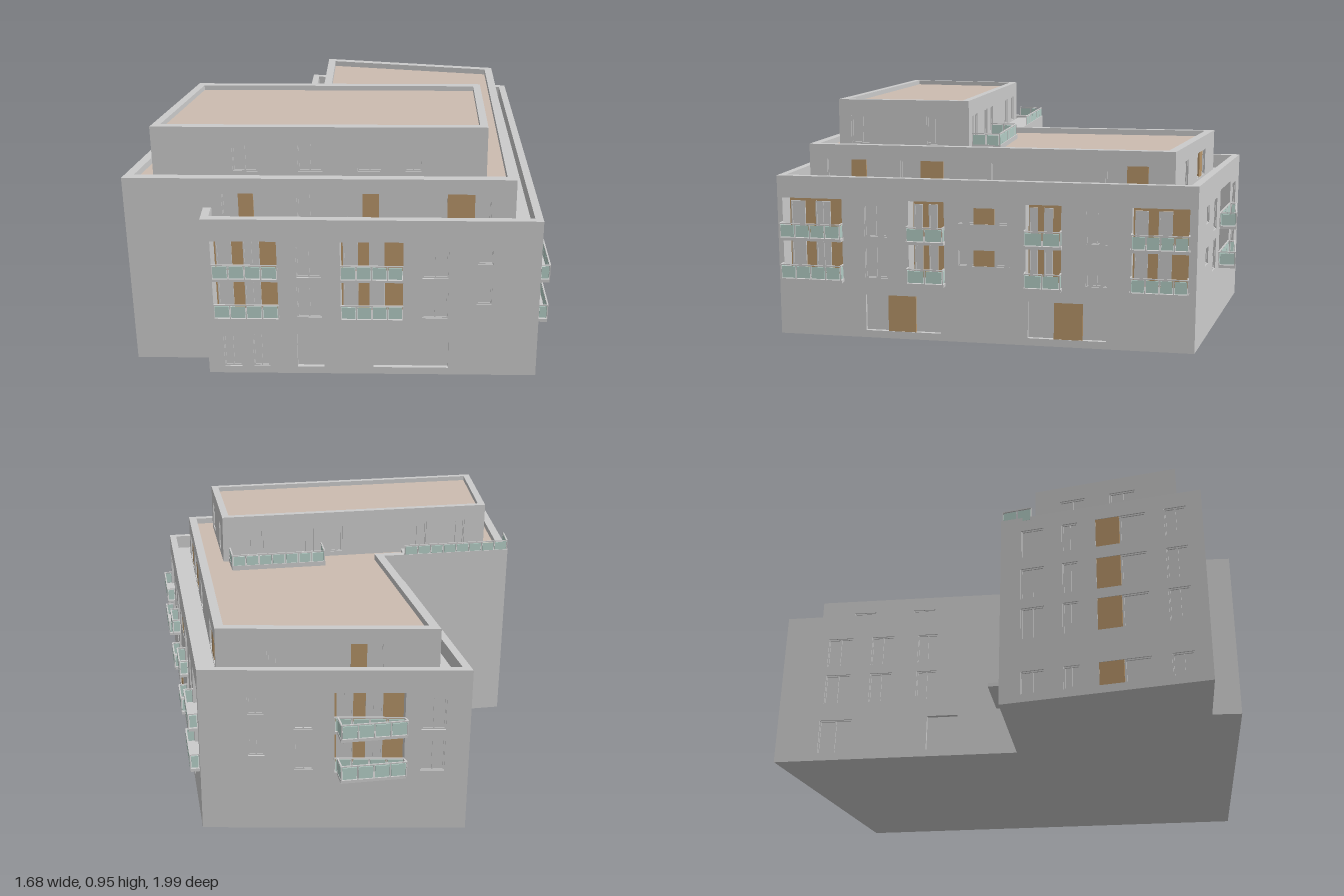
import * as THREE from 'three';

const mat = (color, side = THREE.FrontSide) => new THREE.MeshStandardMaterial({ color, side, flatShading: true });
const GREY = mat(0xcccccc), TAN = mat(0xb8966a), ROOF = mat(0xccbcb0), GLASS = mat(0xb4cec6);

function add(parent, name, geo, material = GREY, x = 0, y = 0, z = 0) {
  const m = new THREE.Mesh(geo, material);
  m.name = name;
  m.position.set(x, y, z);
  parent.add(m);
  return m;
}
const box = (w, h, d) => new THREE.BoxGeometry(w, h, d);

// Plan outlines are [x, z] corners, anticlockwise seen from above
const planShape = pts => new THREE.Shape(pts.map(([x, z]) => new THREE.Vector2(x, -z)));
const flat = pts => new THREE.ShapeGeometry(planShape(pts)).rotateX(-Math.PI / 2);

function inset(pts, d) {
  const n = pts.length;
  return pts.map((p, i) => {
    const a = pts[(i + n - 1) % n], b = pts[(i + 1) % n];
    const u = new THREE.Vector2(p[0] - a[0], p[1] - a[1]).normalize();
    const v = new THREE.Vector2(b[0] - p[0], b[1] - p[1]).normalize();
    const k = d / (1 + u.dot(v));
    return [p[0] + k * (u.y + v.y), p[1] - k * (u.x + v.x)];
  });
}

function slab(parent, name, pts, y0, y1, rim = 0) {
  const s = planShape(pts);
  if (rim) s.holes.push(planShape(inset(pts, rim)));
  const g = new THREE.ExtrudeGeometry(s, { depth: y1 - y0, bevelEnabled: false }).rotateX(-Math.PI / 2);
  return add(parent, name, g, GREY, 0, y0, 0);
}

// Inside-out box without its front face: lining of a recess
function recess(w, h, d) {
  const g = box(w, h, d);
  const idx = Array.from(g.index.array);
  idx.splice(24, 6);
  g.setIndex(idx.reverse());
  g.computeVertexNormals();
  return g;
}

// Glass railing along a path of [x, z] points
function railing(parent, pts, y, h = 0.06) {
  const g = new THREE.Group();
  g.name = 'railing';
  parent.add(g);
  for (let i = 0; i + 1 < pts.length; i++) {
    const [a, b] = [pts[i], pts[i + 1]];
    const dx = b[0] - a[0], dz = b[1] - a[1], len = Math.hypot(dx, dz);
    const seg = new THREE.Group();
    seg.name = 'railingRun';
    seg.position.set(a[0], y, a[1]);
    seg.rotation.y = -Math.atan2(dz, dx);
    g.add(seg);
    const n = Math.max(1, Math.round(len / 0.06)), step = len / n;
    for (let k = 0; k < n; k++)
      add(seg, 'glassPanel', box(step - 0.008, h - 0.012, 0.004), GLASS, (k + 0.5) * step, h / 2, 0);
    for (let k = 0; k <= n; k++) add(seg, 'post', box(0.004, h, 0.004), GREY, k * step, h / 2, 0);
    add(seg, 'handrail', box(len, 0.004, 0.006), GREY, len / 2, h, 0);
  }
}

function windowPane(parent, x0, x1, y0, y1, z) {
  const w = x1 - x0, h = y1 - y0, cx = (x0 + x1) / 2, cy = (y0 + y1) / 2;
  add(parent, 'windowPane', box(w, h, 0.004), GREY, cx, cy, z);
  for (const s of [-1, 1]) {
    add(parent, 'windowJamb', box(0.005, h, 0.008), GREY, cx + s * (w / 2 - 0.0025), cy, z + 0.003);
    add(parent, 'windowRail', box(w, 0.005, 0.008), GREY, cx, cy + s * (h / 2 - 0.0025), z + 0.003);
  }
  if (w > 0.06) add(parent, 'mullion', box(0.005, h, 0.008), GREY, cx, cy, z + 0.003);
}

// Wall from P to Q (left to right seen from outside). Openings: a, b along the
// world axis, y0, y1, kind (window | loggia | door), tan panel range, rail overhang
function wall(parent, name, P, Q, y0, y1, axis = 0, openings = []) {
  const dx = Q[0] - P[0], dz = Q[1] - P[1], len = Math.hypot(dx, dz);
  const g = new THREE.Group();
  g.name = name;
  g.position.set(P[0], 0, P[1]);
  g.rotation.y = -Math.atan2(dz, dx);
  parent.add(g);
  const rect = (a, b, c, d) => [[a, c], [b, c], [b, d], [a, d]].map(p => new THREE.Vector2(...p));
  const s = new THREE.Shape(rect(0, len, y0, y1));
  const along = v => (v - P[axis]) / (Q[axis] - P[axis]) * len;
  for (const [a, b, c, d, kind = 'window', tan, out = 0] of openings) {
    const [u0, u1] = [along(a), along(b)].sort((m, n) => m - n);
    const w = u1 - u0, h = d - c, cx = (u0 + u1) / 2, cy = (c + d) / 2;
    const depth = kind === 'loggia' ? 0.09 : 0.016;
    s.holes.push(new THREE.Path(rect(u0, u1, c, d)));
    add(g, kind + 'Recess', recess(w, h, depth), GREY, cx, cy, -depth / 2);
    if (kind === 'loggia') {
      add(g, 'loggiaBackPanel', box(w, h, 0.004), TAN, cx, cy, -depth + 0.003);
      for (const [f0, f1] of [[0.03, 0.27], [0.45, 0.7]])
        windowPane(g, u0 + f0 * w, u0 + f1 * w, c + 0.005, d - 0.025, -depth + 0.006);
      if (out) add(g, 'balconySlab', box(w + 0.01, 0.012, out), GREY, cx, c - 0.004, out / 2);
      railing(g, out ? [[u0, 0], [u0, out], [u1, out], [u1, 0]] : [[u0, 0], [u1, 0]], c, 0.06);
    } else if (kind === 'window') windowPane(g, u0, u1, c, d, -0.012);
    if (tan) {
      const [t0, t1] = tan.map(along);
      add(g, 'timberPanel', box(Math.abs(t1 - t0), h, 0.01), TAN, (t0 + t1) / 2, cy, -0.007);
    }
  }
  add(g, name + 'Face', new THREE.ShapeGeometry(s));
}

const FLOORS = [0.25, 0.42];
const stack = (list, lo = 0, hi = 0.13) => FLOORS.flatMap(y => list.map(([a, b, ...r]) => [a, b, y + lo, y + hi, ...r]));
const row = (list, lo, hi) => list.map(([a, b, ...r]) => [a, b, lo, hi, ...r]);

export function createModel() {
  const model = new THREE.Group();
  model.name = 'apartmentBuilding';
  const A = [-0.66, -0.88], B = [0.34, -0.98], C = [0.81, 0.64], D = [-0.42, 0.99];
  const E = [-0.455, 0.887], F = [-0.835, 0.2], G = [-0.745, 0.97], J = [-0.38, 0.075];
  const S1 = [0.69, 0.56], S2 = [0.29, -0.87], S3 = [-0.54, -0.79], K = [-0.29, 0.05];
  const T = [[-0.67, 0.86], [0.56, 0.5], [0.41, -0.03], [-0.73, 0.3]];

  // Lower block
  wall(model, 'frontWall', D, C, 0, 0.6, 0, [
    ...stack([[-0.39, -0.15, 'loggia'], [0.08, 0.31, 'loggia']], -0.01, 0.15),
    ...stack([[-0.08, 0.01], [0.38, 0.475]]), ...stack([[0.58, 0.635]], 0.06, 0.13),
    ...row([[-0.36, -0.295], [-0.25, -0.19], [-0.085, 0.015, 'door'], [0.2, 0.48, 'door']], 0.03, 0.175)]);
  wall(model, 'eastWall', C, B, 0, 0.6, 1, [
    ...stack([[0.62, 0.38], [0.115, -0.025], [-0.34, -0.475], [-0.74, -0.95]].map(p => [...p, 'loggia', null, 0.035]), -0.01, 0.15),
    ...stack([[0.29, 0.2], [-0.57, -0.65]]),
    ...stack([[-0.08, -0.28, 'window', [-0.14, -0.22]]], 0.065, 0.13),
    ...row([[0.29, -0.01, 'door', [0.2, 0.09]], [-0.35, -0.65, 'door', [-0.45, -0.56]]], 0.03, 0.18)]);
  wall(model, 'rearWall', B, A, 0, 0.6, 0, [
    ...stack([[-0.16, -0.42, 'loggia']], -0.01, 0.15),
    ...stack([[0.16, 0.1]], 0.06, 0.13), ...stack([[-0.01, -0.08], [-0.48, -0.57]])]);
  wall(model, 'westWall', A, J, 0, 0.6, 1, [
    ...stack([[-0.7, -0.6], [-0.52, -0.43], [-0.33, -0.25]]),
    ...row([[-0.71, -0.58], [-0.28, -0.16, 'door']], 0.03, 0.175)]);
  wall(model, 'frontReturn', E, D, 0, 0.6);
  slab(model, 'lowerParapet', [D, C, B, A, J, E], 0.6, 0.66, 0.03);
  add(model, 'lowerLedge', flat([D, C, B, A, J, E]), GREY, 0, 0.6, 0);

  // Side wing
  wall(model, 'wingNorthWall', J, F, 0, 0.75, 0, [[-0.45, -0.53, 0.01, 0.17, 'door']]);
  wall(model, 'wingWestWall', F, G, 0, 0.75, 1, [[0.03, 0.12], [0.25, 0.38], [0.42, 0.55], [0.6, 0.72]].flatMap(([c, d]) =>
    row([[0.28, 0.37], [0.44, 0.5], [0.57, 0.76, 'window', [0.57, 0.66]], [0.83, 0.91]], c, d)));
  wall(model, 'wingFrontWall', G, E, 0, 0.75);
  slab(model, 'entranceCanopy', [[-0.59, 0.135], [-0.37, 0.07], [-0.39, -0.01], [-0.61, 0.05]], 0.195, 0.21);

  // Set-back storey
  wall(model, 'setbackFront', E, S1, 0.6, 0.75, 0, row([
    [-0.385, -0.22, 'window', [-0.325, -0.27]], [-0.11, -0.02],
    [0.075, 0.25, 'window', [0.13, 0.19]], [0.35, 0.6, 'window', [0.44, 0.54]]], 0.61, 0.72));
  wall(model, 'setbackEast', S1, S2, 0.6, 0.75, 1, row([
    [0.49, 0.27, 'window', [0.39, 0.33]], [0.19, -0.03, 'window', [0.11, 0.02]],
    [-0.17, -0.25], [-0.61, -0.84, 'window', [-0.69, -0.77]]], 0.61, 0.72));
  wall(model, 'setbackRear', S2, S3, 0.6, 0.75, 0, row([
    [0.1, 0.04], [-0.15, -0.33, 'window', [-0.21, -0.27]]], 0.61, 0.72));
  wall(model, 'setbackWest', S3, K, 0.6, 0.75, 1, row([[-0.65, -0.56], [-0.4, -0.31]], 0.61, 0.72));
  wall(model, 'setbackNorth', K, J, 0.6, 0.75);
  const mid = [G, S1, S2, S3, K, F];
  slab(model, 'middleParapet', mid, 0.75, 0.78, 0.035);
  add(model, 'middleRoof', flat(mid), ROOF, 0, 0.755, 0);

  // Penthouse
  const holes = [
    [[-0.375, -0.285], [-0.135, -0.045], [0.085, 0.175], [0.26, 0.32]],
    [[0.45, 0.36], [0.14, 0.08]],
    [[0.34, 0.24], [0.09, 0.02], [-0.05, -0.1], [-0.39, -0.47], [-0.57, -0.64]],
    [[0.4, 0.5], [0.6, 0.7]]];
  T.forEach((p, i) => wall(model, 'penthouseWall', p, T[(i + 1) % 4], 0.75, 0.93, i % 2, row(holes[i], 0.775, 0.89)));
  slab(model, 'penthouseParapet', T, 0.93, 0.955, 0.03);
  add(model, 'penthouseRoof', flat(T), ROOF, 0, 0.935, 0);

  // Terraces and the angled rear balconies
  slab(model, 'wingTerrace', [[-0.82, 0.325], [-0.36, 0.19], [-0.38, 0.085], [-0.825, 0.21]], 0.755, 0.77);
  railing(model, [[-0.82, 0.32], [-0.83, 0.205], [-0.38, 0.08]], 0.76);
  slab(model, 'roofDeck', [[-0.01, 0.085], [0.385, -0.03], [0.35, -0.145], [-0.04, -0.035]], 0.755, 0.775);
  railing(model, [[-0.01, 0.08], [-0.035, -0.03], [0.35, -0.14], [0.38, -0.03]], 0.765, 0.055);
  for (const y of FLOORS) {
    slab(model, 'rearBalconySlab', [[-0.42, -0.9], [-0.17, -0.925], [-0.19, -0.995], [-0.43, -0.93]], y - 0.02, y - 0.008);
    railing(model, [[-0.42, -0.91], [-0.43, -0.93], [-0.192, -0.993], [-0.173, -0.93]], y - 0.01);
  }

  // Underside
  add(model, 'groundSlab', flat([D, C, B, A, J, F, G, E]).rotateX(Math.PI).scale(1, 1, -1).scale(1, -1, 1), mat(0xcccccc, THREE.DoubleSide), 0, 0.001, 0);
  return model;
}
